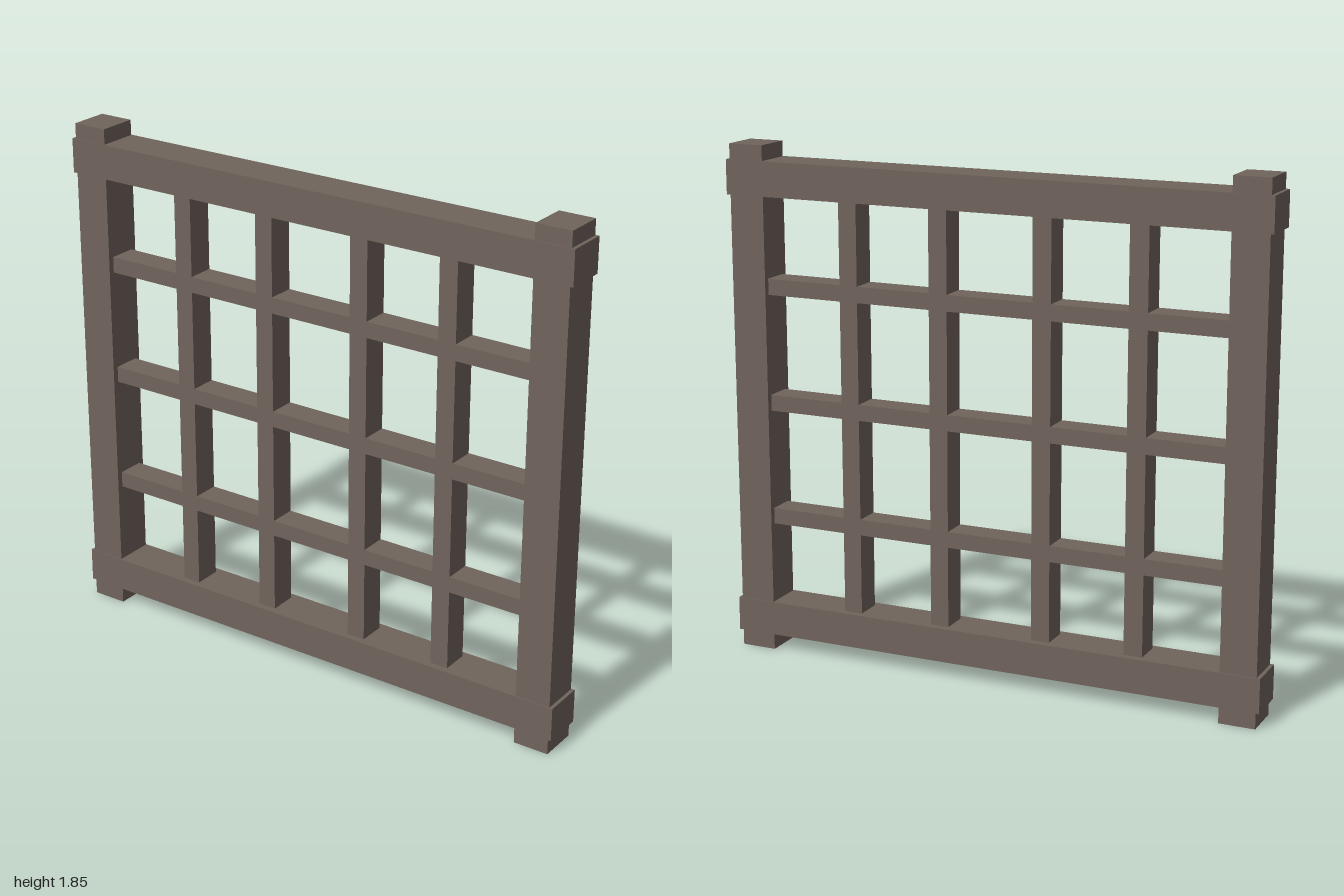
import * as THREE from 'three';

export function createModel() {
  const group = new THREE.Group();
  const wood = new THREE.MeshStandardMaterial({ color: 0x70645c, flatShading: true });

  // Box timber centred on z = 0
  const timber = (name, w, h, d, x, y) => {
    const mesh = new THREE.Mesh(new THREE.BoxGeometry(w, h, d), wood);
    mesh.name = name;
    mesh.position.set(x, y, 0);
    group.add(mesh);
  };

  // Corner posts
  timber('leftPost', 0.13, 1.85, 0.144, 0.922, 0.925);
  timber('rightPost', 0.13, 1.85, 0.144, -0.922, 0.925);

  // Top and bottom rails, slightly proud of the posts
  timber('bottomRail', 2, 0.124, 0.152, 0, 0.12);
  timber('topRail', 2, 0.124, 0.152, 0, 1.733);

  // Upright lattice bars between the rails
  for (const x of [-0.538, -0.193, 0.193, 0.538]) {
    timber('uprightBar', 0.068, 1.5, 0.1, x, 0.9265);
  }

  // Cross bars between the posts
  for (const y of [0.505, 0.9265, 1.348]) {
    timber('crossBar', 1.72, 0.058, 0.1, 0, y);
  }

  return group;
}
